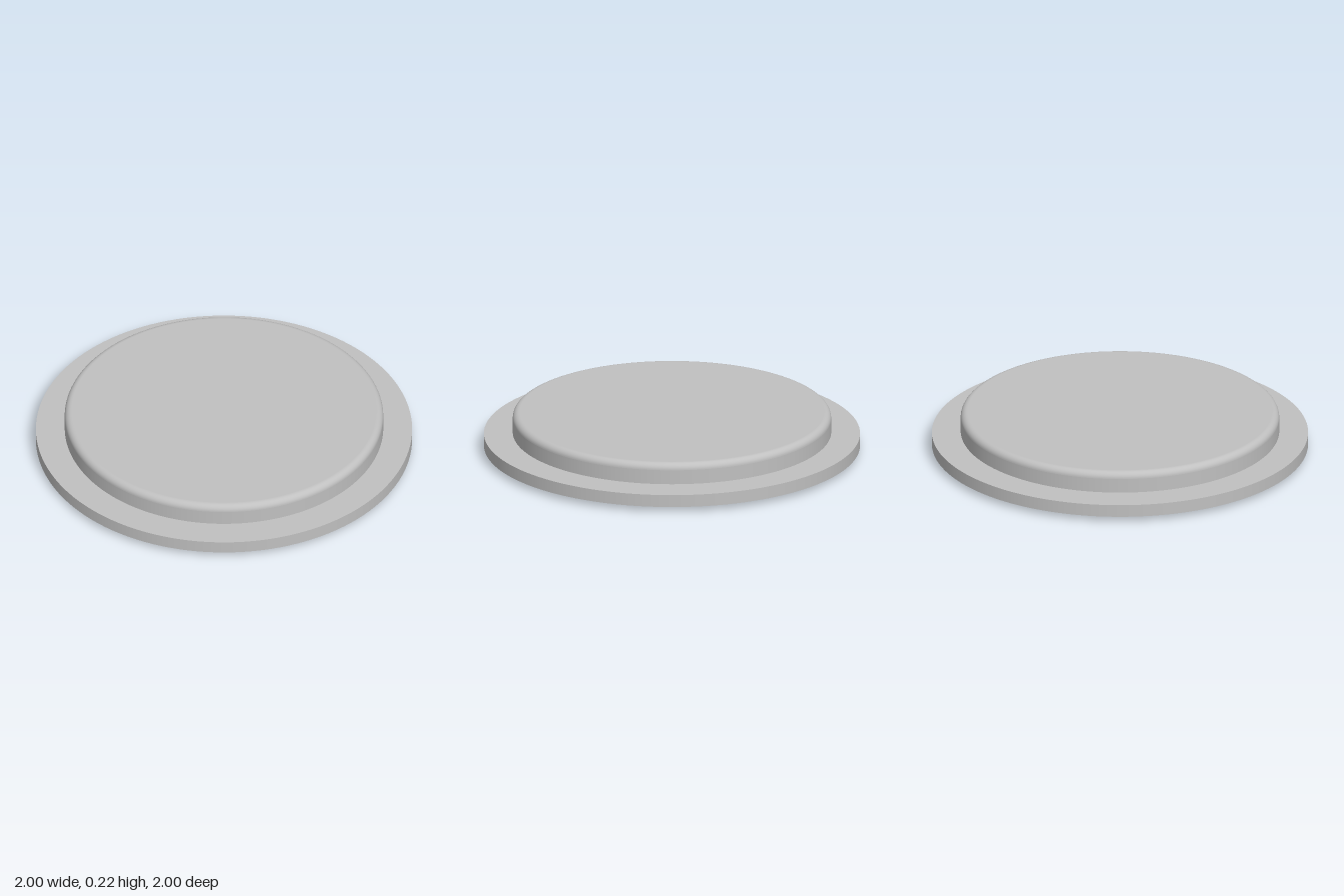
import * as THREE from 'three';

const SEGMENTS = 128;

export function createModel() {
  const group = new THREE.Group();
  const grey = new THREE.MeshStandardMaterial({ color: 0xc0c0c0 });
  grey.name = 'light grey';

  const add = (name, geometry, y) => {
    const mesh = new THREE.Mesh(geometry, grey);
    mesh.name = name;
    mesh.position.y = y;
    group.add(mesh);
  };
  const disc = (radius, height) => new THREE.CylinderGeometry(radius, radius, height, SEGMENTS);

  // Small round stub under the base
  add('bottomStub', disc(0.113, 0.03), 0.015);

  // Wide flat base plate
  add('basePlate', disc(1, 0.067), 0.0605);

  // Upper disc with a rounded top edge, floating just above the plate
  const radius = 0.847, height = 0.114, fillet = 0.036, steps = 10;
  const v = (x, y) => new THREE.Vector2(x, y);
  // Repeated points keep the flat faces flat and the lower edge sharp
  const profile = [v(0, 0), v(radius, 0), v(radius, 0), v(radius, height - fillet)];
  for (let i = 0; i <= steps; i++) {
    const a = (i / steps) * Math.PI / 2;
    profile.push(v(radius - fillet + fillet * Math.cos(a), height - fillet + fillet * Math.sin(a)));
  }
  profile.push(v(radius - fillet, height), v(0, height));
  add('upperDisc', new THREE.LatheGeometry(profile, SEGMENTS), 0.102);

  return group;
}
